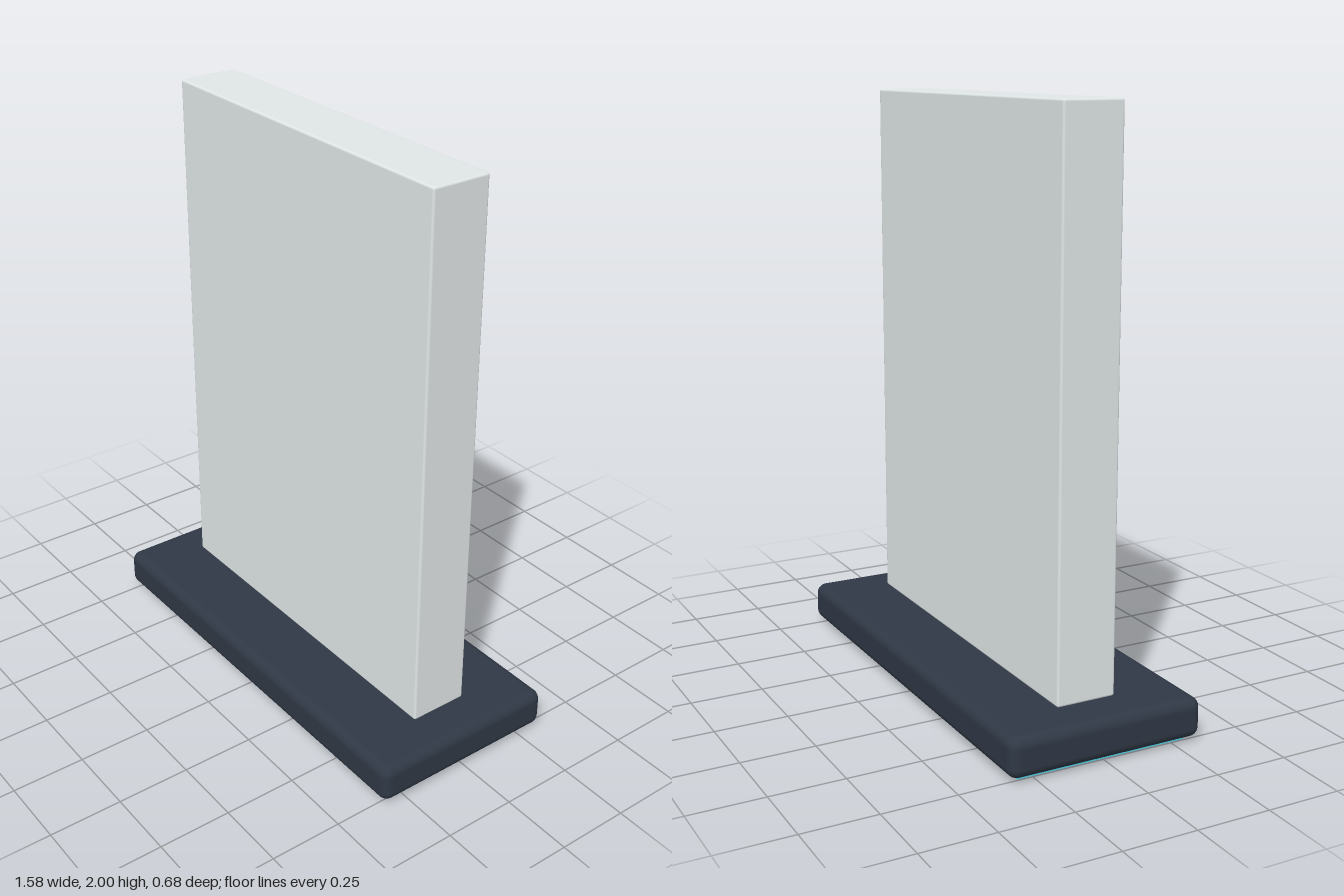
import * as THREE from 'three';
import { RoundedBoxGeometry } from 'three/addons/geometries/RoundedBoxGeometry.js';

const material = (name, color) => {
  const m = new THREE.MeshStandardMaterial({ color });
  m.name = name;
  return m;
};

export function createModel() {
  const group = new THREE.Group();
  group.name = 'standingPanel';

  // Adds a part whose underside sits at height y
  const add = (name, geometry, mat, y, height) => {
    const mesh = new THREE.Mesh(geometry, mat);
    mesh.name = name;
    mesh.position.y = y + height / 2;
    group.add(mesh);
  };

  // Thin bright pad under the base
  add('basePad', new THREE.BoxGeometry(1.49, 0.02, 0.6), material('cyan', 0x4acce2), 0, 0.02);

  // Dark plinth with rounded edges
  add('base', new RoundedBoxGeometry(1.575, 0.134, 0.684, 5, 0.035), material('darkSlate', 0x2f3845), 0.014, 0.134);

  // Upright slab with finely eased edges
  add('panel', new RoundedBoxGeometry(1.29, 1.852, 0.208, 2, 0.008), material('paleGrey', 0xe0e6e6), 0.148, 1.852);

  return group;
}
